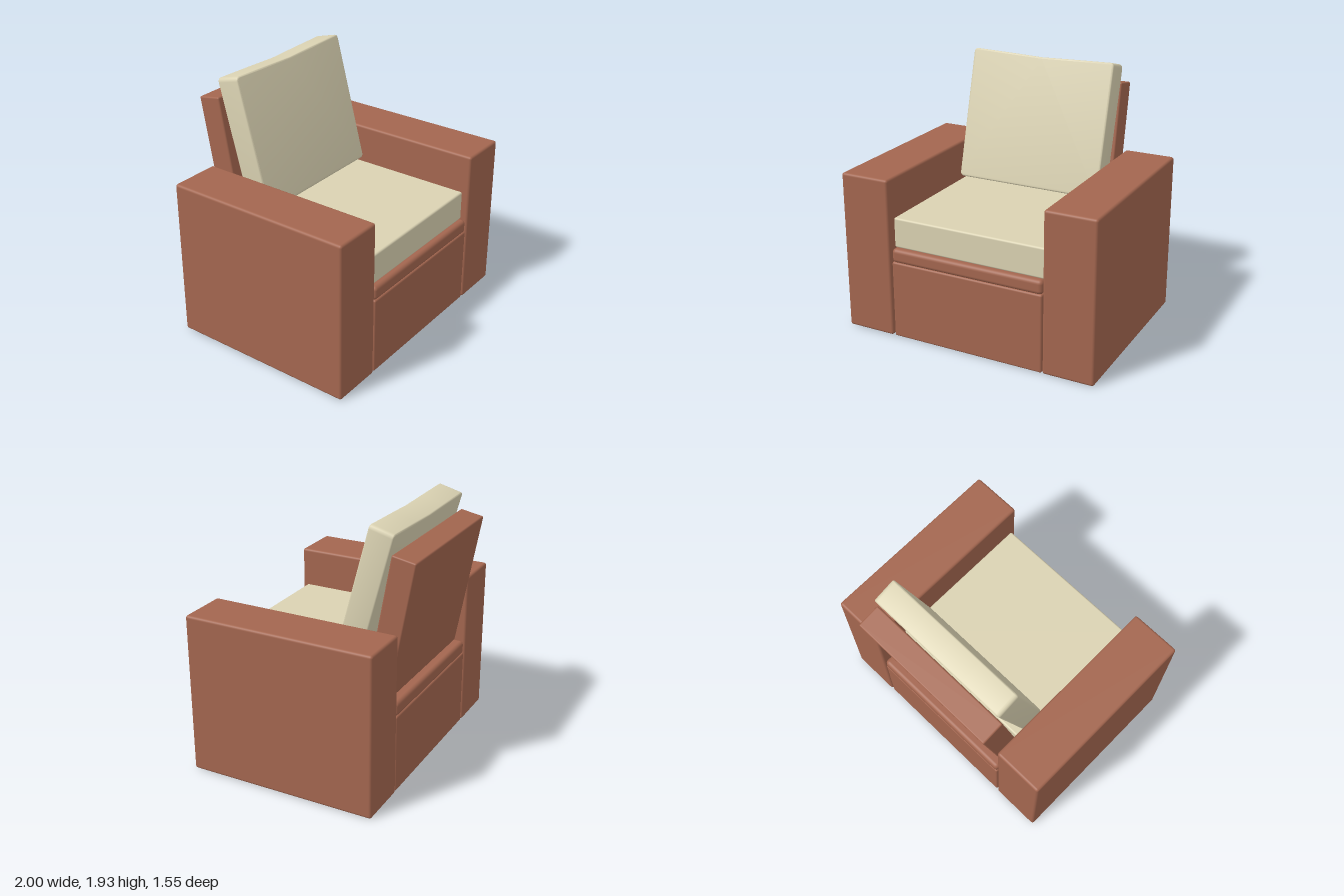
import * as THREE from 'three';
import { RoundedBoxGeometry } from 'three/addons/geometries/RoundedBoxGeometry.js';
import { toCreasedNormals } from 'three/addons/utils/BufferGeometryUtils.js';

export function createModel() {
  const model = new THREE.Group();
  model.name = 'armchair';

  const leather = new THREE.MeshStandardMaterial({ color: 0xa3664f });
  leather.name = 'terracotta upholstery';
  const fabric = new THREE.MeshStandardMaterial({ color: 0xdad2b2 });
  fabric.name = 'cream fabric';

  // Rounded block given by its limits on each axis
  function block(name, material, [x0, x1], [y0, y1], [z0, z1], radius, parent = model) {
    const geometry = new RoundedBoxGeometry(x1 - x0, y1 - y0, z1 - z0, 3, radius);
    const mesh = new THREE.Mesh(geometry, material);
    mesh.name = name;
    mesh.position.set((x0 + x1) / 2, (y0 + y1) / 2, (z0 + z1) / 2);
    parent.add(mesh);
    return mesh;
  }

  // Group hinged at its lower rear edge and leaning backwards
  function leaning(name, y, z, degrees) {
    const group = new THREE.Group();
    group.name = name;
    group.position.set(0, y, z);
    group.rotation.x = -THREE.MathUtils.degToRad(degrees);
    model.add(group);
    return group;
  }

  // Arms
  block('leftArm', leather, [0.612, 1], [0, 1.215], [-0.675, 0.775], 0.02);
  block('rightArm', leather, [-1, -0.612], [0, 1.215], [-0.675, 0.775], 0.02);

  // Base and the padded rail on top of it
  block('base', leather, [-0.6, 0.605], [0, 0.595], [-0.67, 0.77], 0.015);
  block('seatRail', leather, [-0.6, 0.605], [0.59, 0.697], [-0.67, 0.77], 0.03);

  // Seat cushion
  block('seatCushion', fabric, [-0.6, 0.605], [0.693, 0.922], [-0.43, 0.725], 0.015);

  // Backrest panel
  const backrest = leaning('backrest', 0.69, -0.593, 10.3);
  block('backrestPanel', leather, [-0.595, 0.587], [0, 1.047], [0, 0.183], 0.012, backrest);

  // Back cushion with a shallow dip along its top edge
  const b = 0.012, w = 0.58 - b, h = 1 - b, r = 0.02, depth = 0.19;
  const outline = new THREE.Shape();
  outline.moveTo(-w + r, b);
  outline.lineTo(w - r, b);
  outline.quadraticCurveTo(w, b, w, b + r);
  outline.lineTo(w, h - r);
  outline.quadraticCurveTo(w, h, w - r, h);
  outline.lineTo(0.24, h - 0.008);
  outline.lineTo(0, h - 0.016);
  outline.lineTo(-0.24, h - 0.008);
  outline.lineTo(-w + r, h);
  outline.quadraticCurveTo(-w, h, -w, h - r);
  outline.lineTo(-w, b + r);
  outline.quadraticCurveTo(-w, b, -w + r, b);
  const cushionGeometry = new THREE.ExtrudeGeometry(outline, {
    depth: depth - 2 * b, bevelThickness: b, bevelSize: b, bevelSegments: 3, curveSegments: 4,
  });
  cushionGeometry.translate(0.005, 0, b);
  const cushion = new THREE.Mesh(toCreasedNormals(cushionGeometry, 0.6), fabric);
  cushion.name = 'backCushionPad';
  leaning('backCushion', 0.92, -0.36, 15).add(cushion);

  return model;
}
